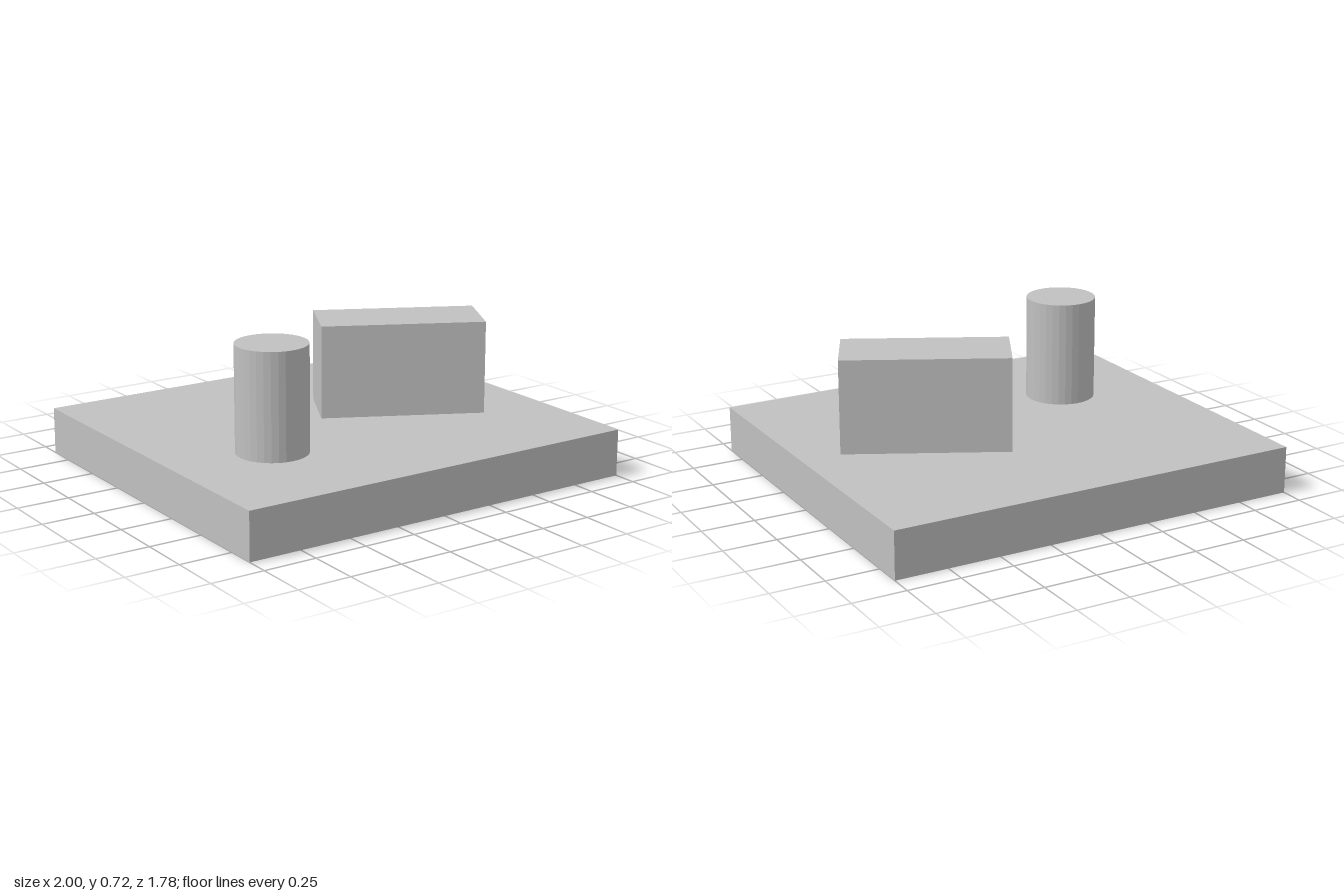
import * as THREE from 'three';

export function createModel() {
  const model = new THREE.Group();
  const grey = new THREE.MeshStandardMaterial({ color: 0xc0c0c0 });
  grey.name = 'light grey';
  grey.flatShading = true;

  const unit = 1 / 9; // the slab is 18 x 16 x 2 of these
  const slabTop = 2 * unit;

  // Adds a part standing at height y
  const addPart = (name, geometry, height, x, y, z) => {
    const mesh = new THREE.Mesh(geometry, grey);
    mesh.name = name;
    mesh.position.set(x, y + height / 2, z);
    model.add(mesh);
    return mesh;
  };

  // Base slab
  addPart('baseSlab', new THREE.BoxGeometry(2, slabTop, 16 * unit), slabTop, 0, 0, 0);

  // Round post
  const postHeight = 4.5 * unit;
  addPart('roundPost', new THREE.CylinderGeometry(1.5 * unit, 1.5 * unit, postHeight, 32),
    postHeight, -4.5 * unit, slabTop, 2.5 * unit);

  // Block turned on the slab
  const blockHeight = 4 * unit;
  const block = addPart('turnedBlock', new THREE.BoxGeometry(7 * unit, blockHeight, 3 * unit),
    blockHeight, 3.5 * unit, slabTop, 0);
  block.rotation.y = -THREE.MathUtils.degToRad(27);

  return model;
}
